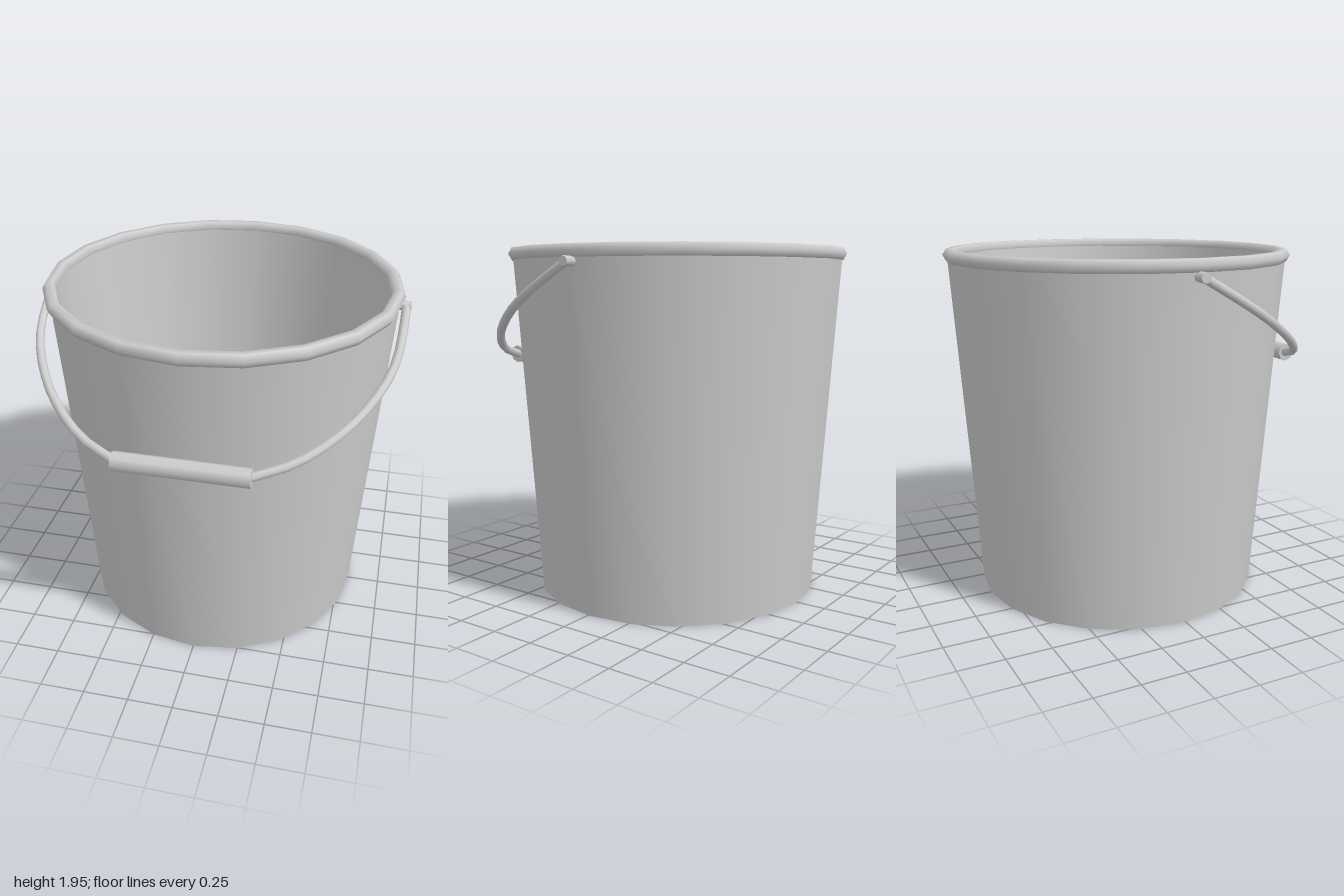
import * as THREE from 'three';

const SIDES = 20;
const CENTRE_Z = -0.02;

export function createModel() {
  const model = new THREE.Group();
  const material = new THREE.MeshStandardMaterial({ color: 0xcccccc });

  const add = (name, geometry, parent = model) => {
    const mesh = new THREE.Mesh(geometry, material);
    mesh.name = name;
    parent.add(mesh);
    return mesh;
  };

  // Bucket body: each section is its own lathe so the corners stay sharp
  const bucket = new THREE.Group();
  bucket.name = 'bucket';
  bucket.position.z = CENTRE_Z;
  model.add(bucket);
  const sections = {
    underside: [[0, 0], [0.812, 0]],
    outerWall: [[0.812, 0], [0.944, 1.92]],
    innerWall: [[0.9, 1.92], [0.735, 0.05]],
    floor: [[0.735, 0.05], [0, 0.05]],
  };
  for (const [name, profile] of Object.entries(sections)) {
    const points = profile.map(([r, y]) => new THREE.Vector2(r, y));
    add(name, new THREE.LatheGeometry(points, SIDES), bucket);
  }

  // Rolled rim
  const rim = new THREE.TorusGeometry(0.93, 0.038, 6, SIDES);
  rim.rotateX(Math.PI / 2);
  add('rim', rim, bucket).position.y = 1.919;

  // Handle, hanging forward: x is sideways, t runs from pivot (0) to grip (1)
  const handle = new THREE.Group();
  handle.name = 'handle';
  model.add(handle);
  const place = (x, t) => new THREE.Vector3(x, 1.865 - 0.533 * t, -0.038 + 0.963 * t);
  const half = [[0.975, 0], [0.972, 0.16], [0.955, 0.33], [0.905, 0.48], [0.77, 0.7], [0.55, 0.905], [0.33, 1.01]];

  for (const side of [1, -1]) {
    const curve = new THREE.CatmullRomCurve3(half.map(([x, t]) => place(side * x, t)));
    add(side > 0 ? 'leftWire' : 'rightWire', new THREE.TubeGeometry(curve, 14, 0.024, 8), handle);

    // Peg joining the wire to the bucket wall
    const peg = new THREE.CylinderGeometry(0.027, 0.027, 0.08, 8);
    peg.rotateZ(Math.PI / 2);
    add(side > 0 ? 'leftPeg' : 'rightPeg', peg, handle).position.copy(place(side * 0.96, 0));
  }

  // Grip
  const grip = new THREE.CylinderGeometry(0.051, 0.051, 0.7, 8);
  grip.rotateZ(Math.PI / 2);
  add('grip', grip, handle).position.set(0, 1.33, 0.935);

  return model;
}
